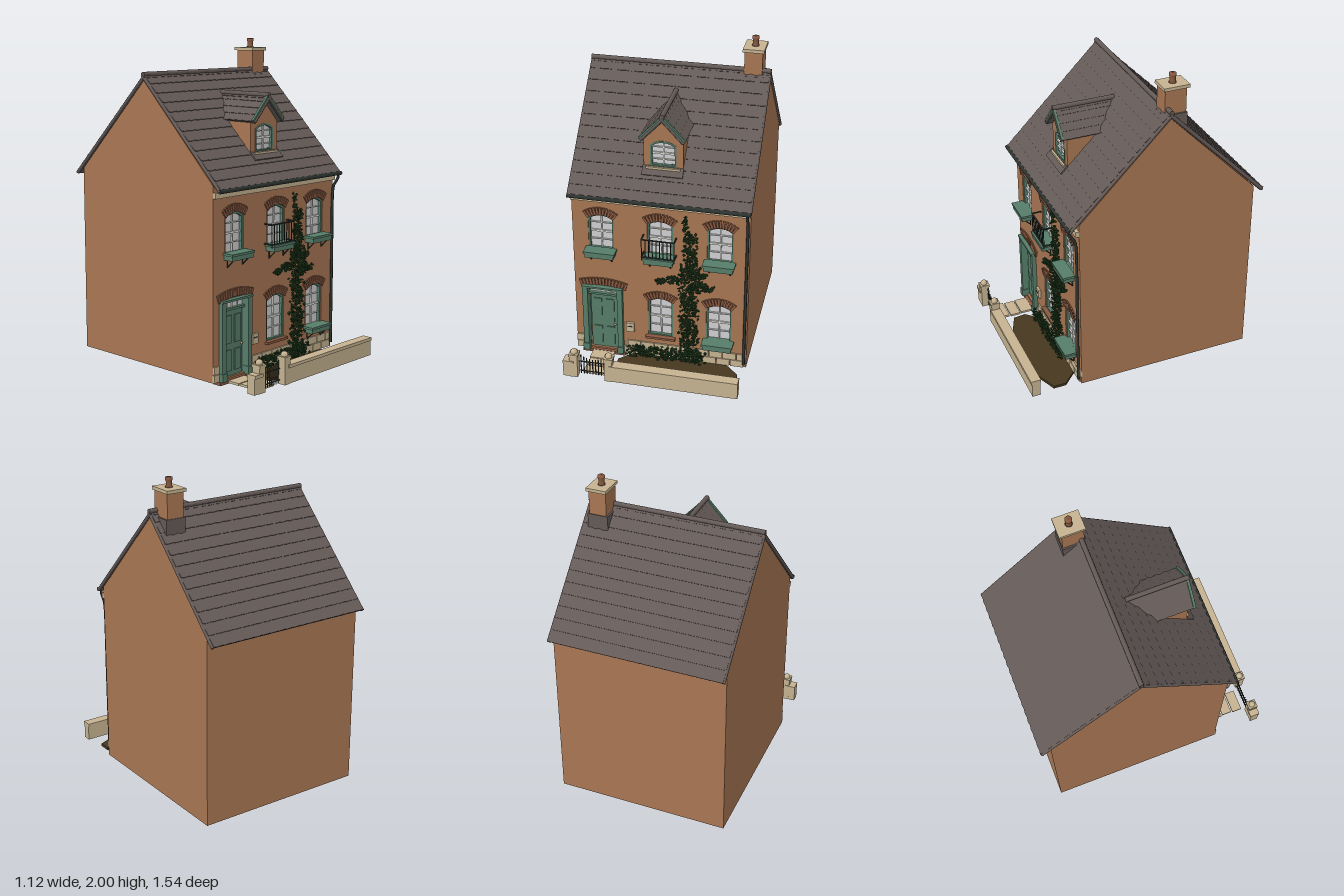
import * as THREE from 'three';
import { mergeGeometries } from 'three/addons/utils/BufferGeometryUtils.js';

const mat = (name, color, side = THREE.FrontSide) => {
  const m = new THREE.MeshStandardMaterial({ color, side });
  m.name = name;
  return m;
};

export function createModel() {
  const brick = mat('brick', 0xa87653), archBrick = mat('dark brick', 0x875840);
  const slate = mat('slate', 0x645a57), green = mat('painted green', 0x567d69);
  const glass = mat('glass', 0xd0d0d2, THREE.DoubleSide), white = mat('white sash', 0xe0e0da);
  const stone = mat('stone', 0xc6b391), soil = mat('soil', 0x47381f);
  const leaf = mat('ivy green', 0x1f3c1d), iron = mat('dark iron', 0x2c332f);

  const house = new THREE.Group();
  house.name = 'townhouse';
  const add = (name, geo, m, parent = house) => {
    const mesh = new THREE.Mesh(geo, m);
    mesh.name = name;
    parent.add(mesh);
    return mesh;
  };
  // Box given by its min and max on each axis
  const box = (name, m, x0, x1, y0, y1, z0, z1, parent = house) => {
    const b = add(name, new THREE.BoxGeometry(x1 - x0, y1 - y0, z1 - z0), m, parent);
    b.position.set((x0 + x1) / 2, (y0 + y1) / 2, (z0 + z1) / 2);
    return b;
  };
  // Round bar between two points
  const rod = (name, m, a, b, r, parent = house) => {
    const p = new THREE.Vector3(...a), q = new THREE.Vector3(...b), d = q.clone().sub(p);
    const c = add(name, new THREE.CylinderGeometry(r, r, d.length(), 10), m, parent);
    c.position.copy(p).add(q).multiplyScalar(0.5);
    c.quaternion.setFromUnitVectors(new THREE.Vector3(0, 1, 0), d.normalize());
    return c;
  };
  const extrude = (shape, depth) => new THREE.ExtrudeGeometry(shape, { depth, bevelEnabled: false, curveSegments: 10 });
  const poly = pts => new THREE.Shape(pts.map(p => new THREE.Vector2(...p)));
  // Opening with a shallow curved head
  const archShape = (cx, half, y0, crown, R) => {
    const a = Math.acos(half / R), s = new THREE.Shape();
    s.moveTo(cx - half, y0);
    s.lineTo(cx + half, y0);
    s.absarc(cx, crown - R, R, a, Math.PI - a, false);
    s.closePath();
    return s;
  };

  // Walls
  const R = 0.1275, W = 0.08;
  const windows = [[-0.37, 0.77, 1.02], [0, 0.77, 1.02], [0.37, 0.77, 1.02], [0, 0.175, 0.465], [0.37, 0.19, 0.465]];
  const front = poly([[-0.5, 0.02], [0.5, 0.02], [0.5, 1.19], [-0.5, 1.19]]);
  windows.forEach(([x, y0, top]) => front.holes.push(archShape(x, W, y0, top, R)));
  front.holes.push(archShape(-0.37, 0.1, 0.03, 0.505, 0.6));
  add('frontWall', extrude(front, 0.05), brick).position.z = 0.39;
  box('backWall', brick, -0.5, 0.5, 0.02, 1.19, -0.7, -0.65);
  const gable = extrude(poly([[-0.7, 0.02], [0.44, 0.02], [0.44, 1.19], [-0.13, 1.765], [-0.7, 1.19]]), 0.05).rotateY(-Math.PI / 2);
  add('gableWall', gable, brick).position.x = 0.55;
  add('gableWall', gable, brick).position.x = -0.5;
  box('roomFloor', stone, -0.5, 0.5, 0.022, 0.03, 0.03, 0.39);
  box('roomPartition', stone, -0.5, 0.5, 0.03, 1.17, 0.02, 0.03);

  // Two-sided tiled roof with the ridge along x, overlapping wavy courses
  const tiledRoof = (name, width, slope, tilt, courses, waves) => {
    const g = new THREE.Group();
    g.name = name;
    const pitch = slope / courses;
    const tile = new THREE.BoxGeometry(width, 0.008, pitch * 1.08, waves * 6, 1, 1);
    const p = tile.attributes.position;
    for (let i = 0; i < p.count; i++)
      p.setY(i, p.getY(i) + 0.0025 * Math.cos((p.getX(i) / width) * waves * Math.PI * 2));
    for (const turn of [0, Math.PI]) {
      const half = new THREE.Group(), plane = new THREE.Group();
      half.rotation.y = turn;
      plane.rotation.x = tilt;
      half.add(plane);
      g.add(half);
      box('roofDeck', slate, -width / 2, width / 2, -0.026, -0.01, 0, slope - 0.005, plane);
      for (let i = 0; i < courses; i++) {
        const t = add('tileCourse', tile, slate, plane);
        t.position.set(0, -0.006, pitch * (i + 0.46));
        t.rotation.x = -0.06;
      }
      for (const s of [-1, 1])
        rod('vergeRoll', slate, [s * width / 2, -0.012, 0], [s * width / 2, -0.012, slope], 0.011, plane);
    }
    rod('ridgeRoll', slate, [-width / 2 - 0.008, 0, 0], [width / 2 + 0.008, 0, 0], 0.015, g);
    house.add(g);
    return g;
  };
  tiledRoof('mainRoof', 1.1, 0.9, Math.PI / 4, 12, 20).position.set(0, 1.803, -0.13);

  // Eaves: cornice, gutter, downpipe
  box('cornice', stone, -0.55, 0.55, 1.115, 1.15, 0.44, 0.462);
  rod('gutter', iron, [-0.557, 1.162, 0.5], [0.557, 1.162, 0.5], 0.013);
  const pipe = new THREE.CatmullRomCurve3([[1.16, 0.5], [1.13, 0.495], [1.08, 0.462], [1.03, 0.455], [0.6, 0.455], [0.05, 0.455]]
    .map(([y, z]) => new THREE.Vector3(0.535, y, z)));
  add('downpipe', new THREE.TubeGeometry(pipe, 40, 0.009, 8), iron);

  // Window: frame, glass and glazing bars
  const makeWindow = (x, y0, top, z, half = W) => {
    const g = new THREE.Group();
    g.name = 'window';
    g.position.set(x, 0, z);
    house.add(g);
    const f = archShape(0, half, y0, top, R);
    f.holes.push(archShape(0, half - 0.011, y0 + 0.012, top - 0.012, R - 0.012));
    add('windowFrame', extrude(f, 0.03), green, g).position.z = -0.026;
    add('pane', new THREE.ShapeGeometry(archShape(0, half, y0, top, R)), glass, g).position.z = -0.015;
    const h = top - y0, w = half - 0.01;
    box('glazingBar', white, -0.004, 0.004, y0 + 0.01, top - 0.01, -0.015, -0.006, g);
    [[0.27, 0.003], [0.5, 0.006], [0.74, 0.003]].forEach(([k, t]) =>
      box('glazingBar', white, -w, w, y0 + h * k - t, y0 + h * k + t, -0.015, -0.005, g));
  };
  // Curved head of standing bricks
  const brickArch = (x, crown, r, spread, n, h) => {
    const g = new THREE.Group();
    g.name = 'brickArch';
    g.position.set(x, crown - r, 0.442);
    house.add(g);
    for (let i = 0; i < n; i++) {
      const a = spread * ((2 * (i + 0.5)) / n - 1);
      const b = add('archBrick', new THREE.BoxGeometry((2 * spread * (r + h / 2)) / n - 0.004, h, 0.018), archBrick, g);
      b.position.set(Math.sin(a) * (r + h / 2), Math.cos(a) * (r + h / 2), 0);
      b.rotation.z = -a;
    }
  };
  const planter = (x, y) => {
    box('windowBox', green, x - 0.09, x + 0.09, y, y + 0.035, 0.44, 0.51);
    box('windowBoxRim', green, x - 0.098, x + 0.098, y + 0.028, y + 0.042, 0.435, 0.516);
    for (const s of [-0.065, 0.065]) {
      rod('boxBracket', iron, [x + s, y - 0.05, 0.446], [x + s, y, 0.446], 0.004);
      rod('boxBracket', iron, [x + s, y - 0.045, 0.446], [x + s, y, 0.495], 0.004);
    }
  };
  windows.forEach(([x, y0, top]) => {
    makeWindow(x, y0, top, 0.43);
    brickArch(x, top, R, 0.68, 11, 0.05);
  });
  [-0.37, 0, 0.37].forEach(x => planter(x, 0.745));
  planter(0.37, 0.162);
  box('windowSill', archBrick, -0.095, 0.095, 0.163, 0.178, 0.43, 0.465);

  // Small balcony rail on the middle upper window
  for (const y of [0.79, 0.912]) {
    rod('balconyRail', iron, [-0.103, y, 0.5], [0.1, y, 0.5], 0.005);
    for (const x of [-0.103, 0.1]) rod('balconyReturn', iron, [x, y, 0.44], [x, y, 0.5], 0.005);
  }
  for (let i = 0; i < 10; i++) rod('balconyBar', iron, [-0.103 + i * 0.0226, 0.77, 0.5], [-0.103 + i * 0.0226, 0.912, 0.5], 0.003);

  // Front door with surround and fanlight
  box('door', green, -0.455, -0.285, 0.03, 0.435, 0.4, 0.425);
  for (const x of [-0.41, -0.33])
    for (const [y0, y1] of [[0.06, 0.19], [0.23, 0.4]]) box('doorPanel', green, x - 0.026, x + 0.026, y0, y1, 0.425, 0.432);
  add('doorKnob', new THREE.SphereGeometry(0.008, 10, 8), stone).position.set(-0.3, 0.215, 0.435);
  box('fanlight', glass, -0.46, -0.28, 0.445, 0.495, 0.41, 0.418);
  for (const x of [-0.415, -0.37, -0.325]) box('fanlightBar', white, x - 0.003, x + 0.003, 0.445, 0.495, 0.418, 0.425);
  box('doorTransom', green, -0.47, -0.27, 0.433, 0.447, 0.4, 0.44);
  for (const x of [-0.482, -0.258]) {
    box('doorPilaster', green, x - 0.017, x + 0.017, 0.02, 0.5, 0.4, 0.468);
    box('pilasterBase', green, x - 0.021, x + 0.021, 0.02, 0.07, 0.43, 0.475);
  }
  box('doorHead', green, -0.5, -0.24, 0.495, 0.508, 0.42, 0.475);
  brickArch(-0.365, 0.515, 0.45, 0.325, 15, 0.05);
  box('letterBox', stone, -0.222, -0.17, 0.19, 0.255, 0.44, 0.456);
  box('letterSlot', iron, -0.212, -0.18, 0.228, 0.234, 0.456, 0.459);

  // Stone plinth blocks
  for (let row = 0; row < 2; row++) {
    const y = 0.022 + row * 0.05;
    for (let x = -0.235; x < 0.5; x += 0.088) {
      const x0 = x + row * 0.04 - 0.02;
      box('plinthBlock', stone, x0, Math.min(x0 + 0.083, 0.55), y, y + 0.046, 0.435, 0.449);
    }
    box('plinthBlock', stone, -0.55, -0.506, y, y + 0.046, 0.435, 0.449);
  }

  // Dormer
  const face = poly([[-0.12, 1.3], [0.12, 1.3], [0.12, 1.535], [0, 1.65], [-0.12, 1.535]]);
  face.holes.push(archShape(0, W, 1.335, 1.505, R));
  add('dormerFace', extrude(face, 0.04), brick).position.z = 0.3;
  for (const s of [-1, 1]) box('dormerCheek', brick, s * 0.11 - 0.01, s * 0.11 + 0.01, 1.3, 1.53, 0.08, 0.3);
  makeWindow(0, 1.335, 1.505, 0.338);
  box('dormerSill', stone, -0.105, 0.105, 1.322, 1.337, 0.32, 0.362);
  const apron = box('dormerApron', slate, -0.125, 0.125, -0.004, 0.006, 0, 0.06);
  apron.position.set(0, 1.315, 0.364);
  apron.rotation.x = Math.PI / 4;
  const dormerRoof = tiledRoof('dormerRoof', 0.38, 0.205, 0.82, 4, 7);
  dormerRoof.position.set(0, 1.678, 0.185);
  dormerRoof.rotation.y = Math.PI / 2;
  for (const s of [-1, 1]) {
    const b = add('bargeBoard', new THREE.BoxGeometry(0.195, 0.03, 0.016), green);
    b.position.set(s * 0.066, 1.594, 0.374);
    b.rotation.z = -s * 0.82;
  }

  // Chimney
  box('chimneyStack', brick, 0.395, 0.505, 1.66, 1.925, -0.245, -0.11);
  box('chimneyFlashing', slate, 0.385, 0.515, 1.66, 1.77, -0.25, -0.1);
  box('chimneyCap', stone, 0.385, 0.515, 1.922, 1.942, -0.262, -0.1);
  const pot = [[0, 0], [0.024, 0], [0.018, 0.012], [0.018, 0.04], [0.022, 0.045], [0.022, 0.06], [0, 0.06]];
  add('chimneyPot', new THREE.LatheGeometry(pot.map(p => new THREE.Vector2(...p)), 16), archBrick).position.set(0.45, 1.94, -0.18);

  // Garden wall, piers and gate
  box('gardenWall', stone, -0.255, 0.55, 0.022, 0.118, 0.712, 0.765);
  box('wallCoping', stone, -0.255, 0.55, 0.118, 0.138, 0.706, 0.771);
  box('gardenWall', stone, -0.55, -0.48, 0.022, 0.118, 0.712, 0.765);
  box('wallCoping', stone, -0.55, -0.48, 0.118, 0.138, 0.706, 0.771);
  for (const x of [-0.482, -0.26]) {
    box('gatePier', stone, x - 0.025, x + 0.025, 0.02, 0.175, 0.711, 0.765);
    box('pierCap', stone, x - 0.029, x + 0.029, 0.172, 0.188, 0.707, 0.769);
    add('pierBall', new THREE.SphereGeometry(0.022, 16, 12), stone).position.set(x, 0.195, 0.738);
  }
  for (let i = 0; i < 9; i++) {
    const x = -0.445 + i * 0.0186;
    rod('gateBar', iron, [x, 0.025, 0.722], [x, 0.135 + 0.03 * ((i - 4) / 4) ** 2, 0.722], 0.0035);
  }
  for (const y of [0.045, 0.115]) rod('gateRail', iron, [-0.457, y, 0.722], [-0.285, y, 0.722], 0.004);

  // Path and planting bed
  for (const [z0, z1, s] of [[0.45, 0.542, 0], [0.55, 0.617, 0.005], [0.626, 0.692, 0]])
    box('pathSlab', stone, -0.442 + s, -0.3 + s, 0.004, 0.018, z0, z1);
  box('doorStep', archBrick, -0.51, -0.23, 0, 0.02, 0.4, 0.46);
  const bed = extrude(poly([[-0.26, -0.53], [-0.25, -0.61], [-0.1, -0.672], [0.13, -0.697], [0.36, -0.672], [0.51, -0.61], [0.51, -0.53], [0.42, -0.44], [-0.17, -0.44]]), 0.018);
  add('plantingBed', bed.rotateX(-Math.PI / 2), soil).position.y = 0.004;

  // Ivy and low hedge, leaves scattered along stems
  let seed = 7;
  const rnd = () => (seed = (seed * 16807) % 2147483647) / 2147483647;
  const leaves = [];
  // x0, y0, x1, y1, spread at start, spread at end, leaf count, depth
  [[0.19, 0.03, 0.18, 0.5, 0.075, 0.055, 330, 0.03], [0.18, 0.48, 0.19, 0.72, 0.07, 0.07, 190, 0.03],
    [0.19, 0.7, 0.2, 0.95, 0.05, 0.03, 120, 0.025], [0.18, 0.8, 0.155, 1.06, 0.035, 0.012, 60, 0.025],
    [0.16, 0.64, -0.02, 0.6, 0.04, 0.012, 70, 0.025], [0.2, 0.6, 0.33, 0.585, 0.04, 0.015, 60, 0.025],
    [0.22, 0.66, 0.29, 0.68, 0.03, 0.01, 25, 0.02], [-0.2, 0.065, 0.28, 0.065, 0.045, 0.045, 330, 0.05]
  ].forEach(([x0, y0, x1, y1, s0, s1, n, depth]) => {
    for (let i = 0; i < n; i++) {
      const t = rnd(), s = s0 + (s1 - s0) * t, a = rnd() * 6.283, r = s * Math.sqrt(rnd());
      const l = new THREE.OctahedronGeometry(0.009 + rnd() * 0.005).scale(1, 1, 0.6);
      l.rotateX(rnd() * 3).rotateY(rnd() * 3);
      l.translate(x0 + (x1 - x0) * t + Math.cos(a) * r, Math.max(0.02, y0 + (y1 - y0) * t + Math.sin(a) * r), 0.445 + rnd() * depth);
      leaves.push(l);
    }
  });
  add('ivy', mergeGeometries(leaves), leaf);
  return house;
}
